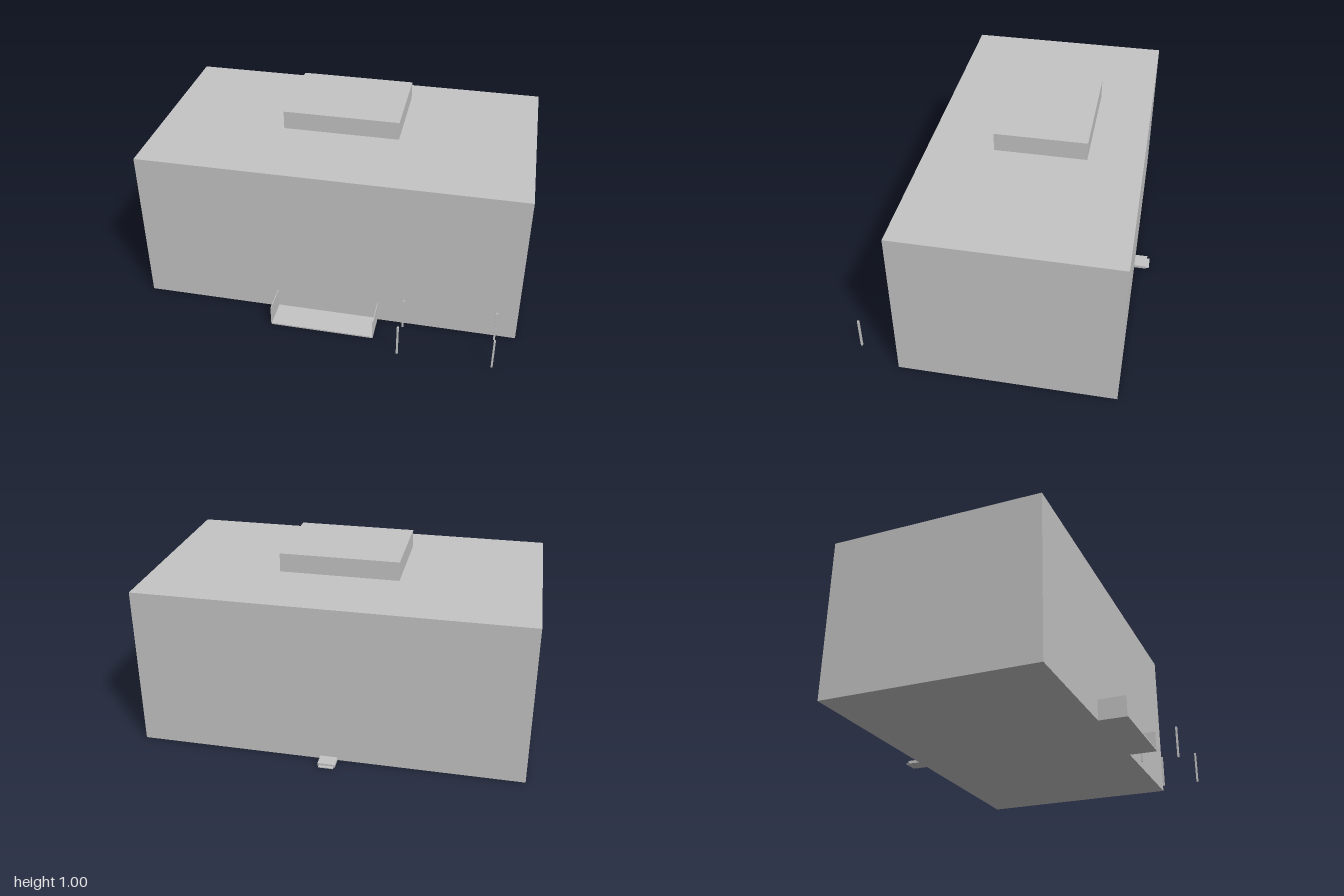
import * as THREE from 'three';

export function createModel() {
  const group = new THREE.Group();
  const plainGrey = new THREE.MeshStandardMaterial({ color: 0xc4c4c4 });
  plainGrey.name = 'plainGrey';

  // Box given by its extents on each axis
  function box(name, [x0, x1], [y0, y1], [z0, z1]) {
    const mesh = new THREE.Mesh(new THREE.BoxGeometry(x1 - x0, y1 - y0, z1 - z0), plainGrey);
    mesh.position.set((x0 + x1) / 2, (y0 + y1) / 2, (z0 + z1) / 2);
    mesh.name = name;
    group.add(mesh);
  }

  // Main block and the raised roof slab hovering above it
  box('buildingBody', [-1, 1], [0, 0.85], [-0.632, 0.478]);
  box('roofSlab', [-0.305, 0.302], [0.908, 1.005], [-0.355, 0.115]);

  // Front porch: low floor with a thin wall at each end
  box('porchFloor', [-0.273, 0.27], [0, 0.008], [0.478, 0.628]);
  for (const [name, x] of [['porchWallRight', -0.274], ['porchWallLeft', 0.27]]) {
    box(name, [x - 0.002, x + 0.002], [0, 0.11], [0.478, 0.626]);
  }

  // Four freestanding posts
  for (const x of [0.412, 0.893]) {
    for (const z of [0.508, 0.71]) {
      box('post', [x - 0.005, x + 0.005], [0, 0.177], [z - 0.005, z + 0.005]);
    }
  }

  // Two shallow back steps
  box('backStepUpper', [-0.048, 0.042], [0, 0.016], [-0.7, -0.632]);
  box('backStepLower', [-0.042, 0.036], [0, 0.005], [-0.715, -0.7]);

  return group;
}
